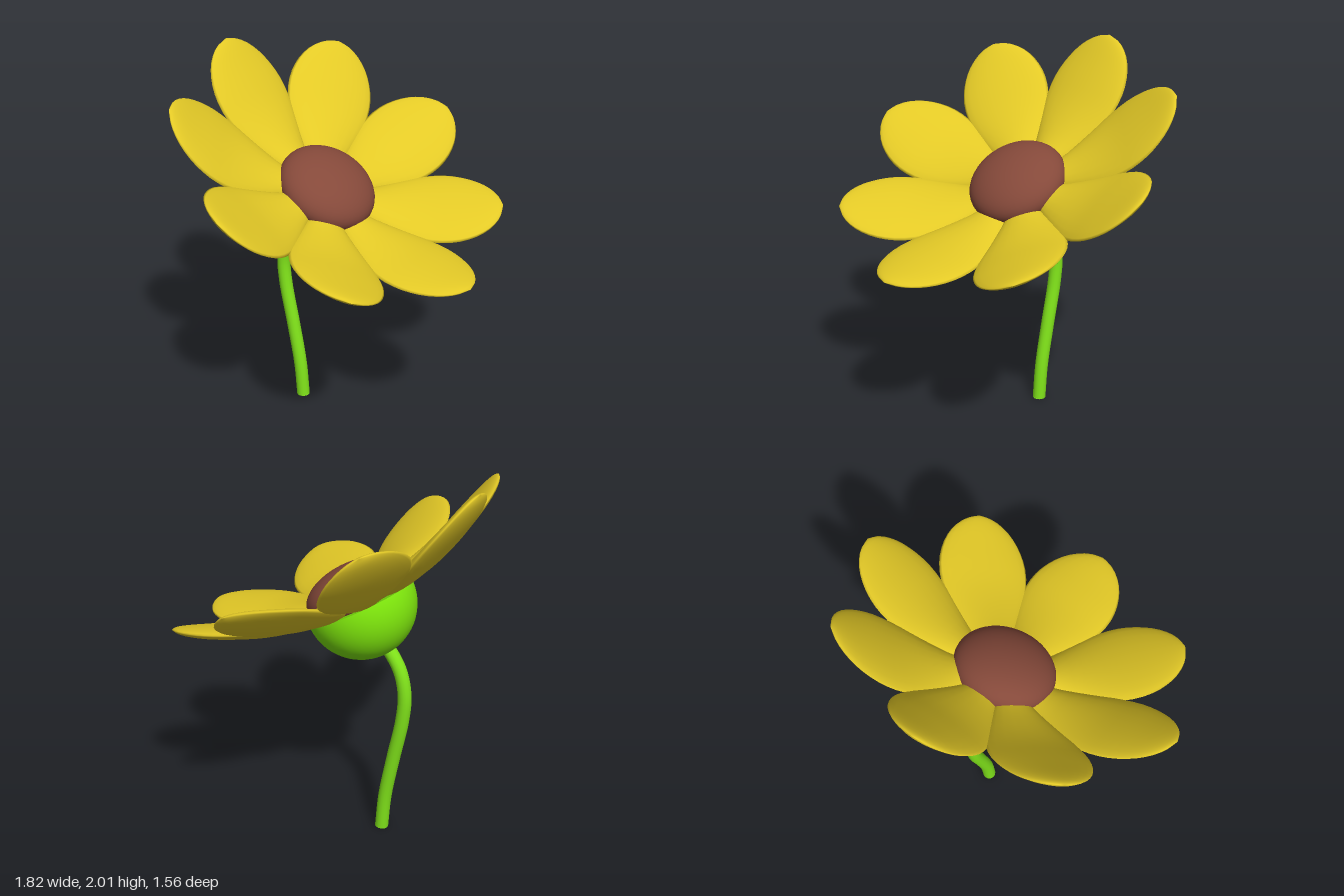
import * as THREE from 'three';

const material = (color) => new THREE.MeshStandardMaterial({ color, side: THREE.DoubleSide });

// Petal lofted along +z from lens-shaped sections: x = distance out, y = height, z = half width
function petalGeometry() {
  const path = new THREE.CatmullRomCurve3([
    [0.12, 0.035, 0.05], [0.25, 0.04, 0.11], [0.40, 0.07, 0.18], [0.53, 0.11, 0.228],
    [0.65, 0.16, 0.238], [0.75, 0.205, 0.212], [0.83, 0.245, 0.16],
    [0.885, 0.275, 0.085], [0.908, 0.29, 0.002],
  ].map((p) => new THREE.Vector3(...p)));
  const rows = 20, sides = 20, positions = [], index = [];
  for (let i = 0; i <= rows; i++) {
    const s = i / rows, p = path.getPoint(s);
    const thickness = 0.046 * (1 - s ** 4);
    for (let j = 0; j < sides; j++) {
      const a = (j / sides) * Math.PI * 2, sin = Math.sin(a);
      positions.push(p.z * Math.cos(a), p.y + thickness * sin * Math.abs(sin) ** 0.3, p.x);
      if (i === rows) continue;
      const k = i * sides + j, next = i * sides + (j + 1) % sides;
      index.push(k, next, k + sides, next, next + sides, k + sides);
    }
  }
  const geometry = new THREE.BufferGeometry();
  geometry.setAttribute('position', new THREE.Float32BufferAttribute(positions, 3));
  geometry.setIndex(index);
  geometry.computeVertexNormals();
  return geometry;
}

export function createModel() {
  const model = new THREE.Group();
  model.name = 'flower';
  const add = (parent, name, geometry, mat) => {
    const mesh = new THREE.Mesh(geometry, mat);
    mesh.name = name;
    parent.add(mesh);
    return mesh;
  };

  // Curved stem rising into the back of the head
  const green = material(0x80e31a);
  const stemPath = new THREE.CatmullRomCurve3([
    [0, -0.31], [0.2, -0.327], [0.45, -0.372], [0.7, -0.421], [0.85, -0.43],
    [0.98, -0.4], [1.08, -0.335], [1.15, -0.26],
  ].map(([y, z]) => new THREE.Vector3(0, y, z)));
  add(model, 'stem', new THREE.TubeGeometry(stemPath, 40, 0.036, 16), green);
  const foot = add(model, 'stemEnd', new THREE.CircleGeometry(0.036, 16), green);
  foot.rotation.x = Math.PI / 2;
  foot.position.set(0, 0.001, -0.31);

  // Head tilted towards the front
  const head = new THREE.Group();
  head.name = 'head';
  head.position.set(0, 1.297, -0.162);
  head.rotation.x = THREE.MathUtils.degToRad(30.5);
  model.add(head);

  // Green half-sphere cup with a flat top
  const cupGreen = material(0x7ee60c);
  add(head, 'cup', new THREE.SphereGeometry(0.285, 40, 16, 0, Math.PI * 2, Math.PI / 2, Math.PI / 2), cupGreen);
  add(head, 'cupTop', new THREE.CircleGeometry(0.285, 40), cupGreen).rotation.x = -Math.PI / 2;

  // Domed seed disc
  const disc = add(head, 'seedDisc', new THREE.SphereGeometry(0.26, 40, 24), material(0x85493a));
  disc.scale.y = 0.54;
  disc.position.y = 0.075;

  // Ring of eight petals
  const geometry = petalGeometry(), yellow = material(0xe3c926);
  for (let i = 0; i < 8; i++) {
    add(head, 'petal', geometry, yellow).rotation.y = (i * Math.PI) / 4 - 0.015;
  }
  return model;
}
